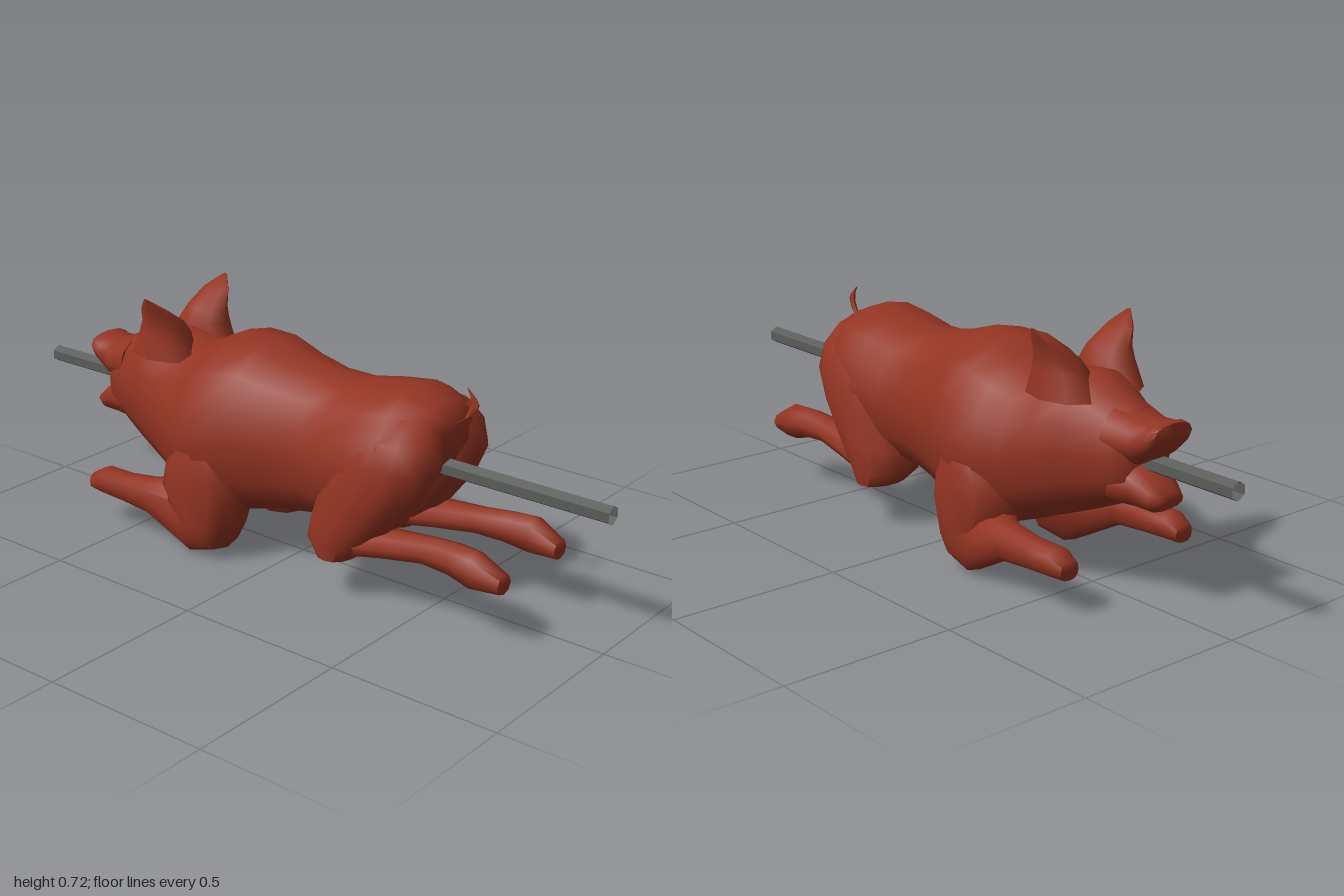
import * as THREE from 'three';
import { toCreasedNormals } from 'three/addons/utils/BufferGeometryUtils.js';

// Closed skin over oval rings [x, y, z, rx, ry, tilt in degrees].
// Tilt 0 runs toward -z, -90 runs downward, 90 runs upward.
// lowPower squares off the lower half of each ring separately.
function loft(rings, sides = 12, power = 2, lowPower = power) {
  const pos = [], index = [];
  for (const [x, y, z, rx, ry, tilt = 0] of rings) {
    const a = THREE.MathUtils.degToRad(tilt);
    for (let i = 0; i < sides; i++) {
      const t = (i / sides) * Math.PI * 2;
      const p = 2 / (i * 2 > sides ? lowPower : power);
      const bend = (v) => Math.sign(v) * Math.pow(Math.abs(v), p);
      const u = bend(Math.cos(t)) * rx, v = bend(Math.sin(t)) * ry;
      pos.push(x + u, y + v * Math.cos(a), z + v * Math.sin(a));
    }
  }
  const last = (rings.length - 1) * sides;
  for (let r = 0; r < last; r += sides) {
    for (let i = 0; i < sides; i++) {
      const j = (i + 1) % sides;
      index.push(r + i, r + sides + j, r + j, r + i, r + sides + i, r + sides + j);
    }
  }
  // end caps
  const c = pos.length / 3;
  pos.push(...rings[0].slice(0, 3), ...rings[rings.length - 1].slice(0, 3));
  for (let i = 0; i < sides; i++) {
    const j = (i + 1) % sides;
    index.push(c, i, j, c + 1, last + j, last + i);
  }
  const g = new THREE.BufferGeometry();
  g.setAttribute('position', new THREE.Float32BufferAttribute(pos, 3));
  g.setIndex(index);
  return toCreasedNormals(g, 1.2);
}

// Centred section from [z, top, bottom, half width]
const sections = (list) => list.map(([z, top, bottom, w]) => [0, (top + bottom) / 2, z, w, (top - bottom) / 2]);

export function createModel() {
  const model = new THREE.Group();
  model.name = 'spitRoast';
  const roast = new THREE.MeshStandardMaterial({ color: 0x933422 });
  roast.name = 'roastedSkin';
  const steel = new THREE.MeshStandardMaterial({ color: 0x5a5c59, side: THREE.DoubleSide });
  steel.name = 'darkSteel';
  const add = (name, geometry, material = roast) => {
    const mesh = new THREE.Mesh(geometry, material);
    mesh.name = name;
    model.add(mesh);
  };

  // Hollow spit through the whole body
  const rod = new THREE.CylinderGeometry(0.026, 0.026, 2, 6, 1, true);
  rod.rotateX(Math.PI / 2).translate(0, 0.392, 0);
  add('spit', toCreasedNormals(rod, 0.4), steel);

  // Torso and head, rump to cheeks
  add('body', loft(sections([
    [0.52, 0.55, 0.45, 0.08],
    [0.485, 0.58, 0.38, 0.15],
    [0.40, 0.61, 0.27, 0.205],
    [0.30, 0.598, 0.20, 0.213],
    [0.20, 0.58, 0.175, 0.198],
    [0.11, 0.585, 0.165, 0.178],
    [0.0, 0.605, 0.15, 0.208],
    [-0.10, 0.636, 0.125, 0.24],
    [-0.20, 0.636, 0.102, 0.262],
    [-0.28, 0.598, 0.118, 0.248],
    [-0.345, 0.57, 0.145, 0.215],
    [-0.43, 0.595, 0.178, 0.186],
    [-0.52, 0.60, 0.215, 0.157],
    [-0.60, 0.555, 0.25, 0.122],
    [-0.65, 0.53, 0.275, 0.10],
    [-0.69, 0.51, 0.285, 0.082],
  ]), 16, 1.95, 2.5));

  // Open mouth
  add('snout', loft(sections([
    [-0.62, 0.535, 0.37, 0.105],
    [-0.70, 0.51, 0.387, 0.086],
    [-0.745, 0.512, 0.415, 0.076],
    [-0.765, 0.517, 0.435, 0.077],
    [-0.778, 0.512, 0.455, 0.068],
  ]), 12, 2.2));
  add('lowerJaw', loft(sections([
    [-0.62, 0.40, 0.268, 0.098],
    [-0.70, 0.387, 0.273, 0.082],
    [-0.75, 0.347, 0.27, 0.063],
    [-0.775, 0.325, 0.285, 0.048],
  ]), 12, 2.2));

  // Curled tail
  add('tail', loft([
    [0, 0.51, 0.505, 0.010, 0.025, 60],
    [0, 0.55, 0.56, 0.007, 0.018, 60],
    [0, 0.585, 0.577, 0.005, 0.014, 85],
    [0, 0.605, 0.572, 0.004, 0.012, 110],
    [0, 0.628, 0.553, 0.002, 0.003, 110],
  ], 6));

  for (const [side, s] of [['left', 1], ['right', -1]]) {
    const limb = (name, rings, sides, power) =>
      add(side + name, loft(rings.map(([x, ...rest]) => [s * x, ...rest]), sides, power));

    limb('Ear', [
      [0.085, 0.53, -0.455, 0.075, 0.115, 90],
      [0.084, 0.60, -0.45, 0.064, 0.085, 90],
      [0.095, 0.635, -0.447, 0.05, 0.07, 90],
      [0.135, 0.68, -0.445, 0.024, 0.047, 90],
      [0.172, 0.718, -0.44, 0.002, 0.006, 90],
    ], 8);

    limb('Thigh', [
      [0.075, 0.55, 0.42, 0.06, 0.08, -90],
      [0.098, 0.49, 0.39, 0.094, 0.142, -90],
      [0.11, 0.42, 0.37, 0.107, 0.168, -90],
      [0.115, 0.33, 0.34, 0.108, 0.155, -90],
      [0.121, 0.23, 0.285, 0.104, 0.131, -90],
      [0.13, 0.165, 0.25, 0.095, 0.10, -90],
      [0.145, 0.122, 0.25, 0.076, 0.055, -90],
    ], 14, 2.2);

    limb('HindShank', [
      [0.137, 0.18, 0.775, 0.032, 0.028],
      [0.142, 0.198, 0.69, 0.046, 0.056],
      [0.132, 0.205, 0.62, 0.048, 0.046],
      [0.125, 0.202, 0.53, 0.048, 0.038],
      [0.128, 0.185, 0.40, 0.062, 0.04],
      [0.132, 0.165, 0.27, 0.075, 0.045],
    ], 8);

    limb('FrontLeg', [
      [0.13, 0.41, -0.21, 0.09, 0.05, -90],
      [0.15, 0.33, -0.213, 0.103, 0.095, -90],
      [0.16, 0.26, -0.218, 0.104, 0.128, -90],
      [0.165, 0.19, -0.222, 0.101, 0.138, -90],
      [0.163, 0.11, -0.215, 0.098, 0.10, -80],
      [0.166, 0.10, -0.235, 0.093, 0.115, -50],
      [0.178, 0.10, -0.28, 0.08, 0.108, -22],
      [0.212, 0.138, -0.40, 0.047, 0.052],
      [0.212, 0.135, -0.50, 0.039, 0.042],
      [0.212, 0.137, -0.59, 0.042, 0.038],
      [0.21, 0.125, -0.632, 0.031, 0.026],
    ], 12, 2.6);
  }
  return model;
}
